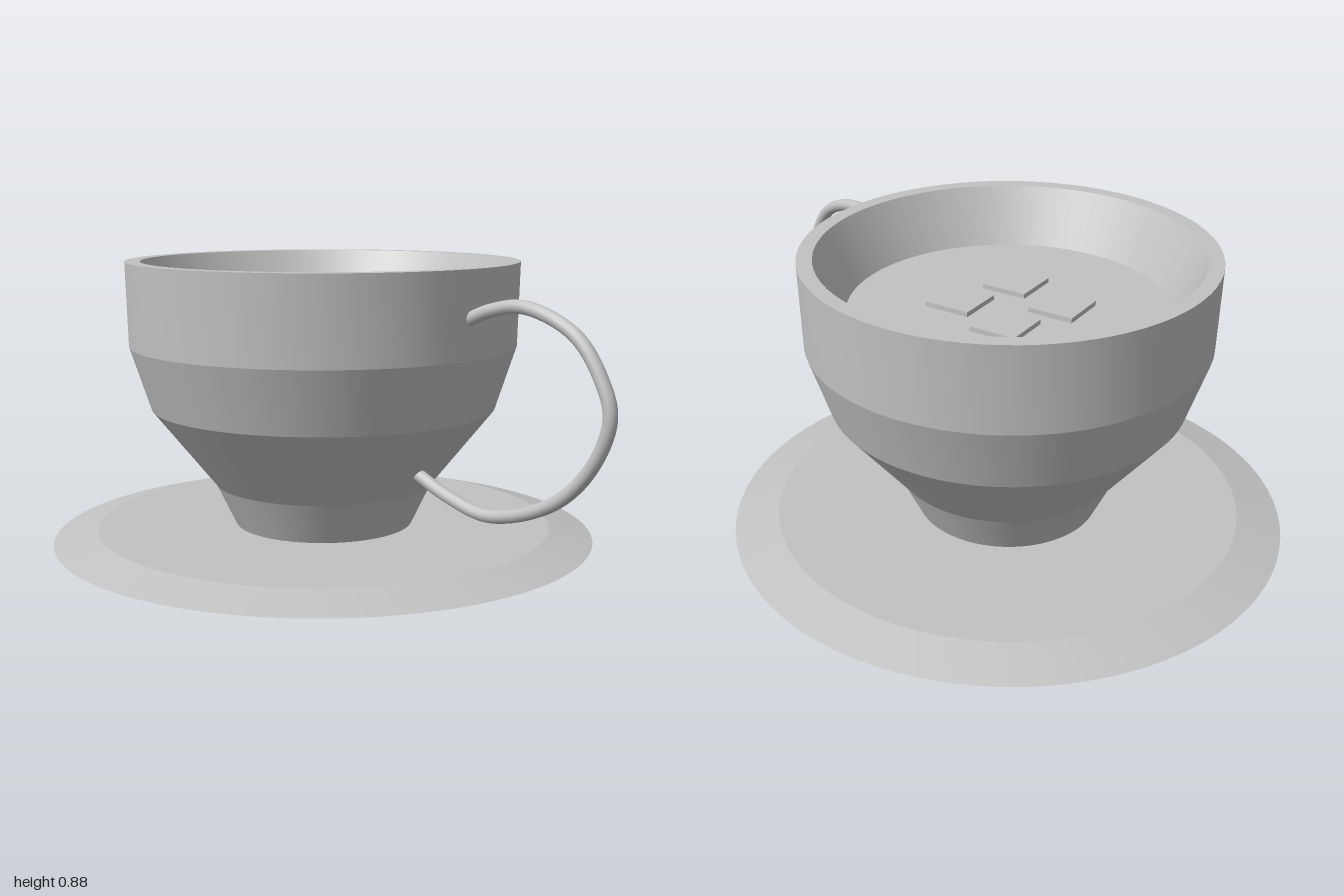
import * as THREE from 'three';
import { toCreasedNormals } from 'three/addons/utils/BufferGeometryUtils.js';

const CUP_Z = -0.13;

export function createModel() {
  const model = new THREE.Group();
  model.name = 'cupAndSaucer';
  const ceramic = new THREE.MeshStandardMaterial({ name: 'light grey', color: 0xc2c2c2 });

  function add(name, geometry, x = 0, y = 0, z = CUP_Z) {
    const mesh = new THREE.Mesh(geometry, ceramic);
    mesh.name = name;
    mesh.position.set(x, y, z);
    model.add(mesh);
    return mesh;
  }

  // Round parts: smooth around the axis, sharp between the bands
  function turned(profile) {
    const points = profile.map(([r, y]) => new THREE.Vector2(r, y));
    return toCreasedNormals(new THREE.LatheGeometry(points, 80), 0.15);
  }

  add('saucer', turned([[0, 0], [0.868, 0], [0.73, 0.037], [0, 0.037]]));

  // Outer wall from the foot up, over the rim and down the inside
  add('cup', turned([
    [0, 0.03], [0.283, 0.03], [0.35, 0.17], [0.55, 0.42], [0.615, 0.62],
    [0.622, 0.885], [0.575, 0.885], [0.487, 0.71],
  ]));

  // Drink surface
  add('drink', turned([[0.487, 0.71], [0, 0.71]]));

  // Four thin square pieces floating on the drink
  for (const x of [-0.11, 0.105]) {
    for (const z of [-0.243, -0.025]) {
      const piece = add('floatingSquare', new THREE.BoxGeometry(0.148, 0.03, 0.148), x, 0.71, z);
      piece.rotation.y = THREE.MathUtils.degToRad(20);
    }
  }

  // Thin looped handle, ends sunk into the cup wall
  const path = new THREE.CatmullRomCurve3([
    [0.465, 0.735], [0.56, 0.772], [0.685, 0.79], [0.86, 0.727], [0.95, 0.615], [0.98, 0.52],
    [0.925, 0.38], [0.797, 0.257], [0.567, 0.18], [0.406, 0.208], [0.26, 0.262],
  ].map(([z, y]) => new THREE.Vector3(0, y, z)));
  add('handle', new THREE.TubeGeometry(path, 80, 0.02, 14), 0.02, 0, 0);

  return model;
}
